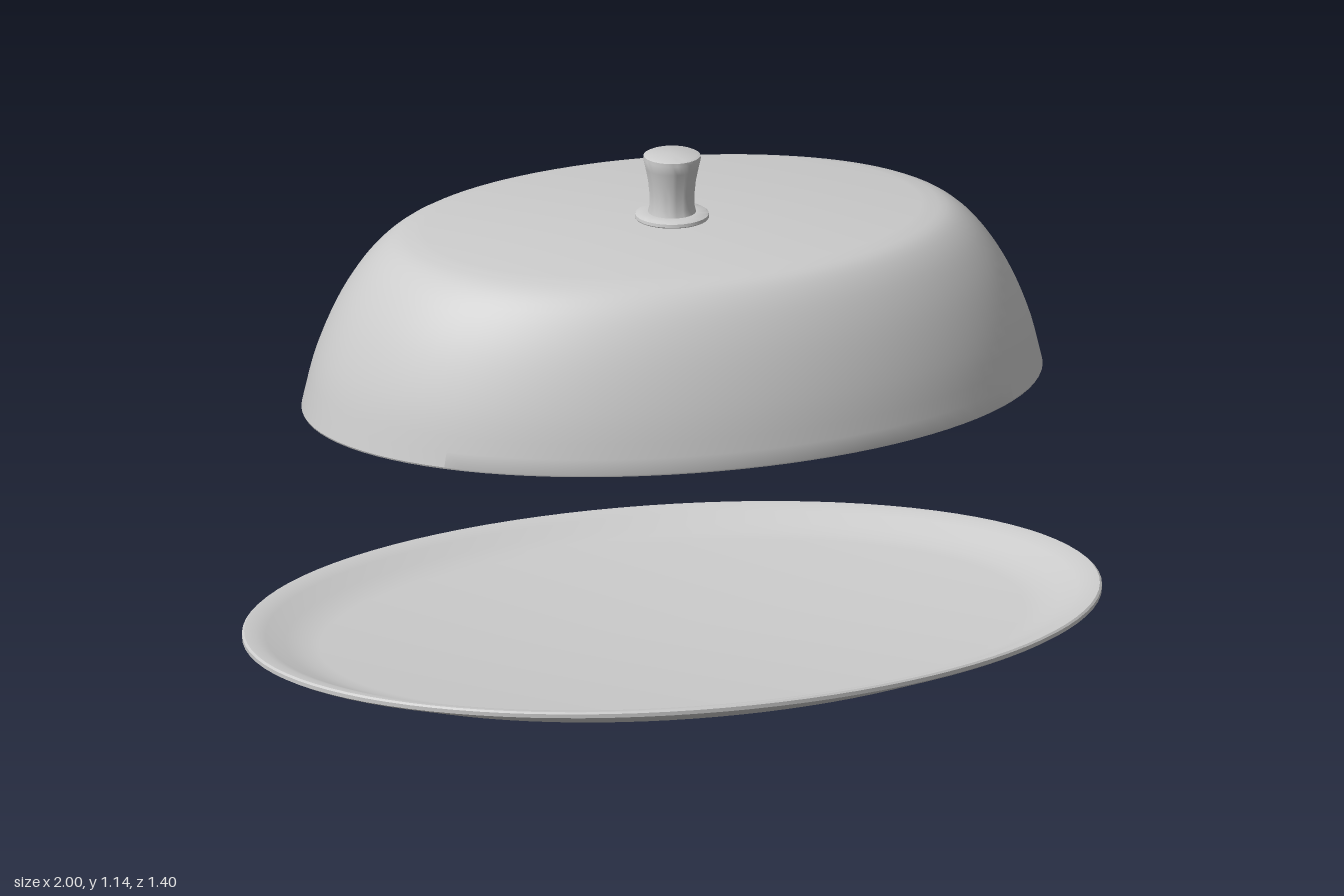
import * as THREE from 'three';
import { toCreasedNormals } from 'three/addons/utils/BufferGeometryUtils.js';

const OVAL = 0.7; // depth relative to width

// Turned part; depth < 1 squashes the round into an oval
function turned(name, profile, depth, segments) {
  const points = profile.map(([r, y]) => new THREE.Vector2(r, y));
  const lathe = new THREE.LatheGeometry(points, segments);
  lathe.scale(1, 1, depth);
  const mesh = new THREE.Mesh(
    toCreasedNormals(lathe, 0.6),
    new THREE.MeshStandardMaterial({ color: 0xcccccc, side: THREE.DoubleSide })
  );
  mesh.name = name;
  return mesh;
}

export function createModel() {
  const group = new THREE.Group();
  group.name = 'coveredServingDish';

  // Shallow oval platter: underside, rim, dished inside
  group.add(turned('platter', [
    [0, 0], [0.83, 0], [0.85, 0.004], [0.99, 0.047], [1, 0.052], [1, 0.061],
    [0.995, 0.065], [0.97, 0.063], [0.945, 0.054], [0.9, 0.036],
    [0.86, 0.024], [0.82, 0.018], [0, 0.018],
  ], OVAL, 96));

  // Hollow lid: curved wall from the rim up to the flat crown
  const wall = new THREE.CatmullRomCurve3([
    [0.862, 0.594], [0.832, 0.71], [0.79, 0.81], [0.745, 0.885],
    [0.695, 0.943], [0.645, 0.977], [0.58, 0.992],
  ].map(([r, y]) => new THREE.Vector3(r, y, 0))).getPoints(20).map((p) => [p.x, p.y]);
  const inner = wall.map(([r, y]) => [r - 0.018, y - 0.016 * (y - 0.594) / 0.398]).reverse();
  group.add(turned('lid', [
    [0, 0.976], ...inner, [0.846, 0.59], [0.86, 0.59], ...wall, [0, 0.992],
  ], OVAL, 96));

  // Round knob with a foot flange and flared top
  group.add(turned('knob', [
    [0, 0.988], [0.08, 0.988], [0.084, 0.994], [0.083, 1.001], [0.077, 1.005],
    [0.054, 1.006], [0.051, 1.02], [0.051, 1.05], [0.054, 1.08], [0.06, 1.11],
    [0.065, 1.132], [0.064, 1.139], [0.058, 1.142], [0, 1.143],
  ], 1, 40));

  return group;
}
